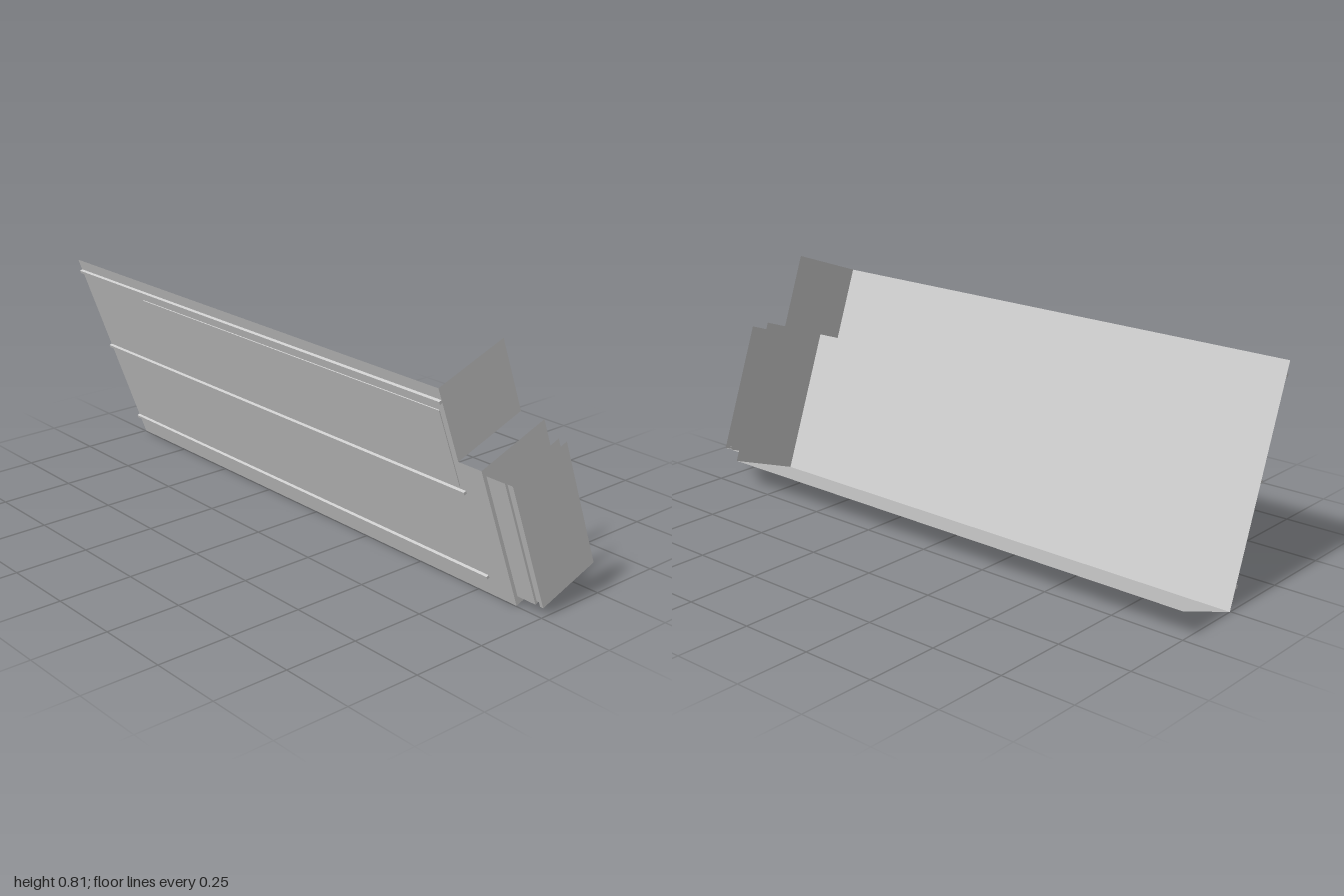
import * as THREE from 'three';

const W = 0.27, H = 0.76, STEP = 0.505;   // width, height and step height of the leaning case
const BACK = -1, TOP_FRONT = 0.81, FRONT = 0.9;

export function createModel() {
  const model = new THREE.Group();
  model.name = 'leaningCase';
  const shell = new THREE.MeshStandardMaterial({ color: 0xcccccc, side: THREE.DoubleSide });
  shell.name = 'lightGrey';

  // everything is built upright, then leaned sideways
  const tilt = new THREE.Group();
  tilt.name = 'tiltedShell';
  tilt.rotation.z = THREE.MathUtils.degToRad(20);
  tilt.position.x = 0.003;
  model.add(tilt);

  const add = (name, geo, x = 0, y = 0, z = 0) => {
    const mesh = new THREE.Mesh(geo, shell);
    mesh.name = name;
    mesh.position.set(x, y, z);
    tilt.add(mesh);
    return mesh;
  };
  const flat = pts => new THREE.ShapeGeometry(new THREE.Shape(pts.map(p => new THREE.Vector2(...p))));
  // panels facing forward, sideways (points are z, y) and downward
  const frontPanel = (name, x0, x1, y0, y1, z) =>
    add(name, flat([[x0, y0], [x1, y0], [x1, y1], [x0, y1]]), 0, 0, z);
  const sidePanel = (name, x, pts) => add(name, flat(pts).rotateY(-Math.PI / 2), x);
  const floorPanel = (name, x0, x1, y, z0, z1) =>
    add(name, flat([[x0, z0], [x1, z0], [x1, z1], [x0, z1]]).rotateX(Math.PI / 2), 0, y);

  // main shell: side wall, floor and stepped front
  sidePanel('sideWall', 0, [[BACK, 0], [FRONT, 0], [FRONT, STEP], [TOP_FRONT, STEP], [TOP_FRONT, H], [BACK, H]]);
  floorPanel('floor', 0, W, 0, BACK, FRONT);
  frontPanel('upperFront', 0, W, STEP, H, TOP_FRONT);
  frontPanel('lowerFront', 0, W, 0, STEP, FRONT);

  // front cover: neck, narrow groove and face plate
  const sections = [['coverNeck', 0, FRONT, 0.97], ['coverGroove', 0.008, 0.97, 0.988], ['coverRim', 0, 0.988, 1]];
  for (const [name, inset, z0, z1] of sections) {
    const x0 = 0.0125 + inset, x1 = 0.243 - inset, y0 = 0.028 + inset, y1 = 0.478 - inset;
    sidePanel(name + 'Side', x0, [[z0, y0], [z1, y0], [z1, y1], [z0, y1]]);
    floorPanel(name + 'Floor', x0, x1, y0, z0, z1);
  }
  frontPanel('coverNeckFace', 0.0125, 0.243, 0.028, 0.478, 0.97);
  frontPanel('coverFace', 0.0125, 0.243, 0.028, 0.478, 1);

  // long ribs and raised panel on the outside of the side wall
  for (const y of [0.075, 0.395, 0.715]) {
    add('sideRib', new THREE.BoxGeometry(0.01, 0.01, TOP_FRONT - BACK), -0.005, y, (TOP_FRONT + BACK) / 2);
  }
  add('sideInsetPanel', new THREE.BoxGeometry(0.003, 0.27, 1.43), -0.0015, 0.545, 0.075);

  // slanted vent slats along the lower edge
  const slats = 24;
  for (let i = 0; i < slats; i++) {
    const z = -0.74 + i * (1.56 / slats);
    sidePanel('ventSlat', -0.003, [[z, 0.02], [z + 0.035, 0.02], [z + 0.06, 0.06], [z + 0.025, 0.06]]);
  }

  // thin strip under the floor
  add('floorStrip', new THREE.BoxGeometry(0.08, 0.003, 1.55), 0.193, -0.0015, 0.015);

  return model;
}
